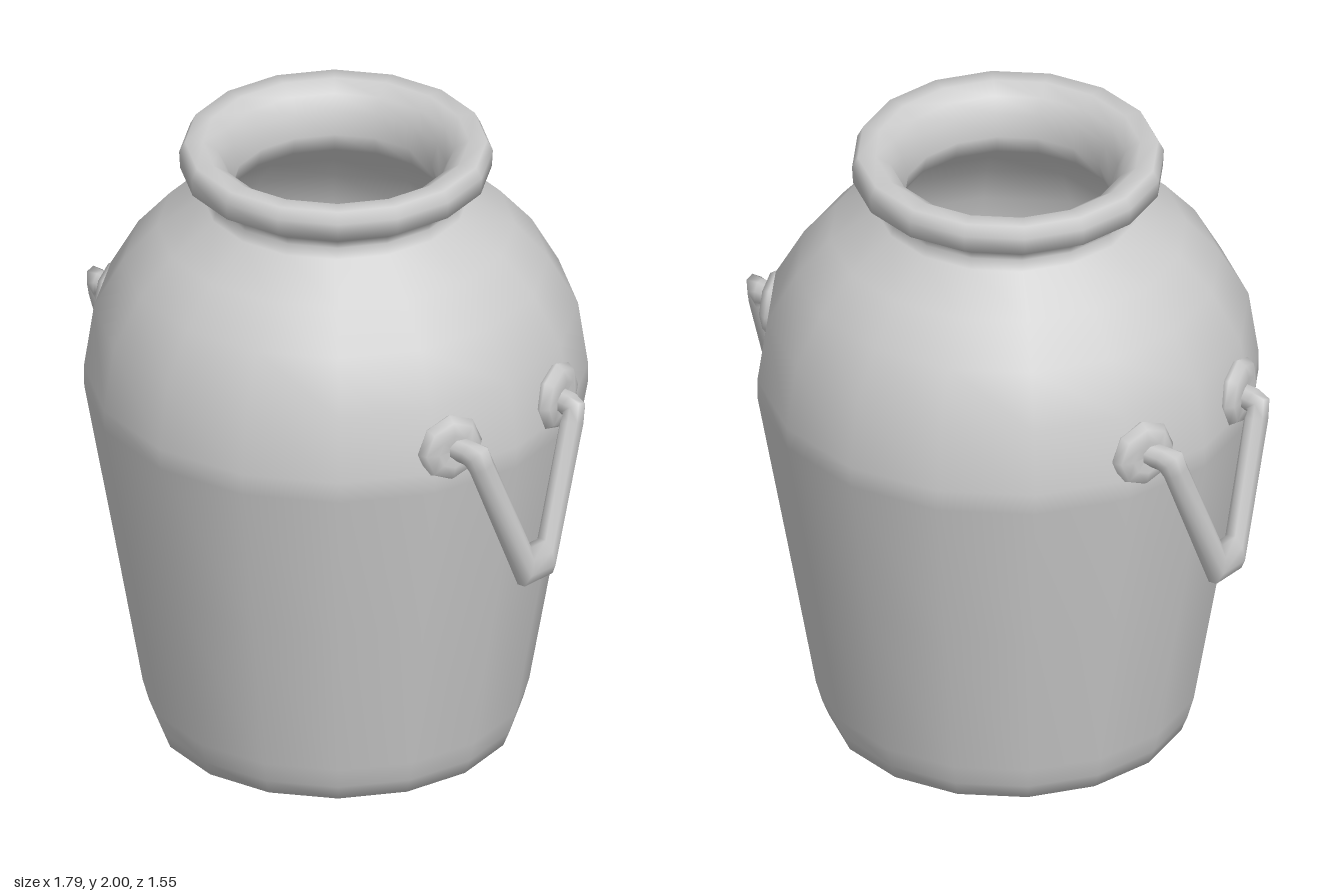
import * as THREE from 'three';

const material = new THREE.MeshStandardMaterial({ color: 0xcccccc });

function addMesh(parent, geometry, name) {
  const mesh = new THREE.Mesh(geometry, material);
  mesh.name = name;
  parent.add(mesh);
  return mesh;
}

function lathe(points, segments) {
  return new THREE.LatheGeometry(points.map(([r, y]) => new THREE.Vector2(r, y)), segments);
}

// Skin elliptical rings, each given as centre and two half-axes
function skinRings(rings, sides) {
  const positions = [], index = [];
  rings.forEach(([c, u, v], i) => {
    for (let j = 0; j < sides; j++) {
      const a = ((j + 0.5) / sides) * Math.PI * 2;
      for (let k = 0; k < 3; k++) positions.push(c[k] + u[k] * Math.cos(a) + v[k] * Math.sin(a));
      if (i === rings.length - 1) continue;
      const p = i * sides + j, q = i * sides + ((j + 1) % sides);
      index.push(p, q, p + sides, q, q + sides, p + sides);
    }
  });
  const geometry = new THREE.BufferGeometry();
  geometry.setAttribute('position', new THREE.Float32BufferAttribute(positions, 3));
  geometry.setIndex(index);
  geometry.computeVertexNormals();
  return geometry;
}

// Handle assembly on the +x side: two round mounts and a V-shaped rod
function createHandle() {
  const handle = new THREE.Group();

  const mount = lathe([[0.08, -0.035], [0.1, -0.02], [0.112, 0], [0.095, 0.025], [0.055, 0.036], [0, 0.025]], 8);
  mount.rotateZ(-Math.PI / 2);
  for (const side of [1, -1]) {
    const mesh = addMesh(handle, mount, 'handleMount');
    mesh.position.set(0.72, 1.29, 0.235 * side);
    mesh.rotation.y = -0.3 * side;
  }

  // Half of the rod, from the mount to the foot of the V, then mirrored in z
  const half = [
    [[0.70, 1.29, 0.225], [0, 0.038, 0], [0, 0, 0.038]],
    [[0.79, 1.29, 0.222], [0.01, 0.04, 0], [0, 0, 0.038]],
    [[0.815, 1.285, 0.215], [0.036, 0.036, 0], [0, -0.012, 0.037]],
    [[0.82, 1.25, 0.2], [0.039, 0.01, 0], [0, -0.014, 0.037]],
    [[0.857, 0.855, 0.047], [0.039, 0.004, 0], [0, -0.068, 0.016]],
  ];
  const flip = ([x, y, z]) => [x, y, -z];
  const mirrored = half.map((ring) => ring.map(flip)).reverse();
  // The mirrored rings keep the same winding, since the travel direction also reverses
  addMesh(handle, skinRings([...half, ...mirrored], 8), 'handleRod');
  return handle;
}

export function createModel() {
  const model = new THREE.Group();
  model.name = 'jar';

  // One closed profile: recessed base, outer wall, rolled lip, inner wall, floor
  const profile = [
    [0, 0.05], [0.41, 0.05], [0.45, 0.02], [0.5, 0], [0.555, 0],
    [0.575, 0.05], [0.595, 0.12], [0.685, 0.64], [0.775, 1.15], [0.776, 1.22],
    [0.745, 1.43], [0.655, 1.59], [0.55, 1.71], [0.41, 1.805],
    [0.4, 1.84], [0.405, 1.865], [0.48, 1.91], [0.483, 1.965], [0.465, 2],
    [0.41, 2], [0.365, 1.97], [0.34, 1.92], [0.32, 1.85], [0.335, 1.79],
    [0.5, 1.67], [0.6, 1.56], [0.685, 1.41], [0.715, 1.2], [0.63, 0.64],
    [0.53, 0.2], [0.46, 0.13], [0.25, 0.1], [0, 0.09],
  ];
  addMesh(model, lathe(profile, 16), 'jarBody');

  // Matching handles on both sides
  for (const [name, turn] of [['leftHandle', 0], ['rightHandle', Math.PI]]) {
    const handle = createHandle();
    handle.name = name;
    handle.rotation.y = turn;
    model.add(handle);
  }
  return model;
}
